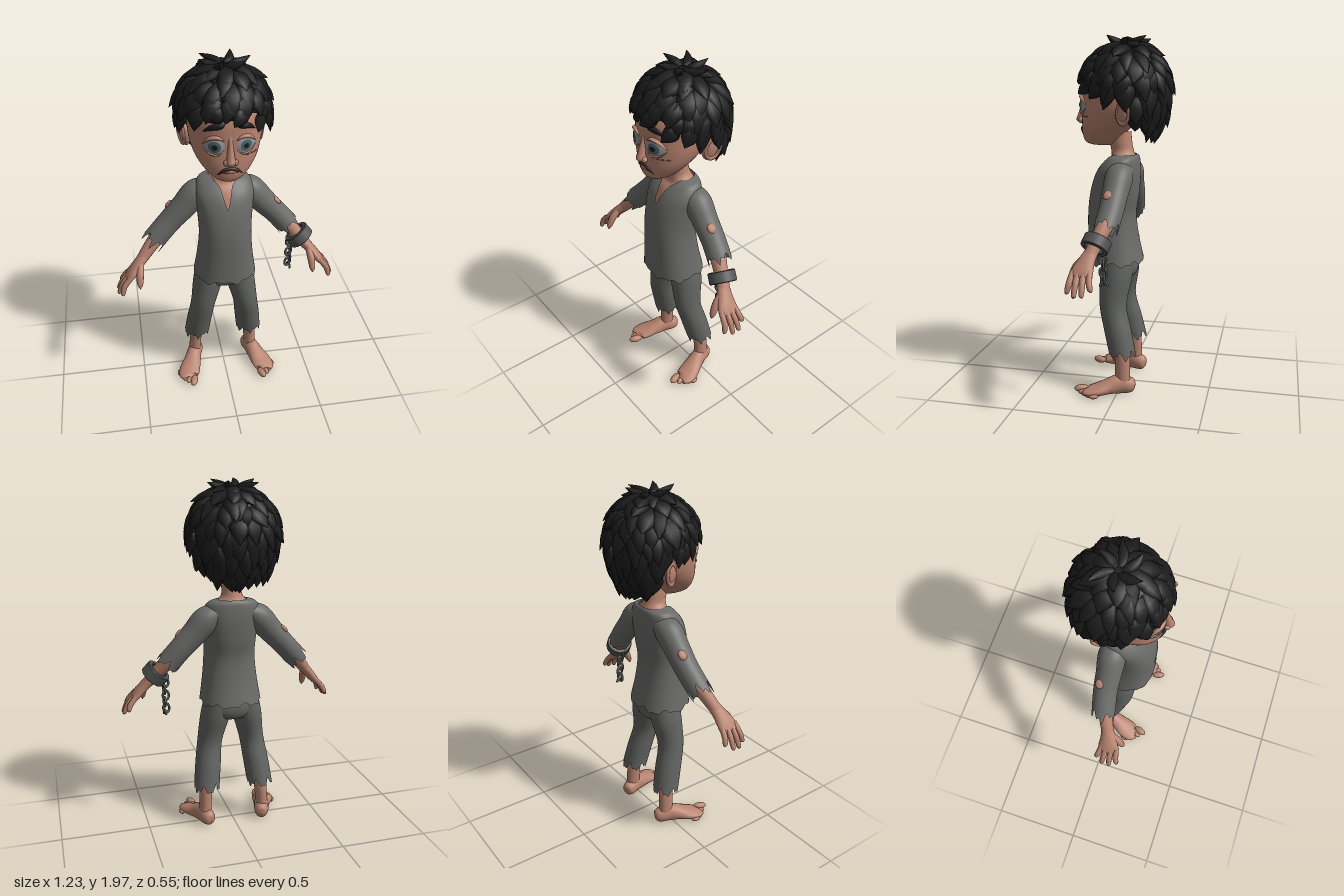
import * as THREE from 'three';
import { mergeGeometries } from 'three/addons/utils/BufferGeometryUtils.js';
import { ParametricGeometry } from 'three/addons/geometries/ParametricGeometry.js';

const V3 = THREE.Vector3, AHEAD = new V3(0, 0, 1), UP = new V3(0, 1, 0), DOWN = new V3(0, -1, 0);
const material = (name, color, side = THREE.FrontSide) => {
  const m = new THREE.MeshStandardMaterial({ color, side });
  m.name = name;
  return m;
};

let seed = 7;
const rand = () => (seed = (seed * 16807) % 2147483647) / 2147483647;

// Smooth skin over elliptical sections [x, y, z, halfWidth, halfDepth]; start/end trim it per angle
function loft(secs, { seg = 16, rows = secs.length * 4, ref = AHEAD, flat = false, p = 2, start = () => 0, end = () => 1 } = {}) {
  const path = new THREE.CatmullRomCurve3(secs.map(s => new V3(s[0], s[1], s[2])), false, 'catmullrom');
  const size = new THREE.CatmullRomCurve3(secs.map(s => new V3(s[3], s[4] ?? s[3], 0)), false, 'catmullrom');
  const pos = [], index = [];
  const bow = v => Math.sign(v) * Math.abs(v) ** (2 / p);
  for (let i = 0; i <= rows; i++) for (let j = 0; j < seg; j++) {
    const a = j / seg * Math.PI * 2, t = THREE.MathUtils.lerp(start(a), end(a), i / rows);
    const T = flat ? DOWN : path.getTangent(t), r = size.getPoint(t);
    const v = ref.clone().addScaledVector(T, -ref.dot(T)).normalize(), u = v.clone().cross(T);
    const q = path.getPoint(t).addScaledVector(u, Math.max(r.x, 0) * bow(Math.cos(a)))
      .addScaledVector(v, Math.max(r.y, 0) * bow(Math.sin(a)));
    pos.push(q.x, q.y, q.z);
    if (i < rows) {
      const k = i * seg + j, n = i * seg + (j + 1) % seg;
      index.push(k, n, n + seg, k, n + seg, k + seg);
    }
  }
  const g = new THREE.BufferGeometry();
  g.setAttribute('position', new THREE.Float32BufferAttribute(pos, 3));
  g.setIndex(index);
  g.computeVertexNormals();
  return g;
}

// Horizontal section given by height, front z, back z and half width
const level = (y, f, b, w) => [0, y, (f + b) / 2, w, (f - b) / 2];
const tri = x => Math.abs((((x % 1) + 1) % 1) * 2 - 1);
// Torn hem: trims a loft end by uneven notches
const torn = (depth, n) => a => {
  const k = a / (Math.PI * 2);
  return 1 - depth * (0.6 * tri(k * n) + 0.4 * tri(k * (n * 2 + 1) + 0.3));
};

export function createModel() {
  const model = new THREE.Group();
  model.name = 'boy';
  const skin = material('skin', 0xb98470), hairMat = material('hair', 0x1c1c1c, THREE.DoubleSide);
  const shirtMat = material('shirt cloth', 0x6a6b69, THREE.DoubleSide);
  const trouserMat = material('trouser cloth', 0x626461, THREE.DoubleSide);
  const iron = material('iron', 0x535554), eyeMat = material('eye white', 0x929b9c), irisMat = material('iris', 0x4d6267);
  const mouthMat = material('mouth', 0x3a2622), lipMat = material('lip', 0x9c6557), scratchMat = material('scratch', 0x85473f);
  const add = (name, geo, mat, parent = model) => {
    const m = new THREE.Mesh(geo, mat);
    m.name = name;
    parent.add(m);
    return m;
  };

  // Head and neck
  const head = add('head', loft([
    level(1.9, 0.03, 0, 0.002), level(1.885, 0.1, -0.11, 0.1), level(1.82, 0.175, -0.17, 0.165), level(1.73, 0.222, -0.19, 0.19),
    level(1.64, 0.228, -0.17, 0.19), level(1.57, 0.228, -0.13, 0.183), level(1.5, 0.23, -0.06, 0.157),
    level(1.44, 0.228, 0, 0.115), level(1.402, 0.215, 0.03, 0.075), level(1.385, 0.18, 0.06, 0.035), level(1.383, 0.13, 0.11, 0.002)],
  { seg: 48, flat: true, p: 2.15 }), skin);
  add('neckAndChest', loft([level(1.46, 0.09, -0.04, 0.05), level(1.4, 0.08, -0.045, 0.054), level(1.35, 0.07, -0.055, 0.06),
    level(1.31, 0.072, -0.07, 0.1), level(1.26, 0.112, -0.075, 0.13), level(1.12, 0.165, -0.06, 0.12)], { seg: 24, flat: true }), skin);

  // Face details follow the head surface
  const ray = new THREE.Raycaster();
  const faceZ = (x, y) => {
    ray.set(new V3(x, y, 1), new V3(0, 0, -1));
    return ray.intersectObject(head)[0]?.point.z ?? 0.2;
  };
  const strip = (name, pts, r, thick, mat) => add(name, loft(pts.map(([x, y], i) => {
    const k = i === 0 || i === pts.length - 1 ? 0.15 : 1;
    return [x, y, faceZ(x, y) + 0.001, r * k, thick * k];
  }), { seg: 8 }), mat);
  const eyeDisc = (name, s, rx, ry, off, mat) => {
    const g = new THREE.RingGeometry(0.0005, 1, 28, 4).scale(rx, ry, 1).translate(s * 0.079, 1.602, 0);
    const a = g.attributes.position;
    for (let i = 0; i < a.count; i++) {
      const x = a.getX(i), y = a.getY(i), d = ((x - s * 0.079) ** 2 + (y - 1.602) ** 2) / 0.0026;
      a.setZ(i, faceZ(x, y) + 0.003 + off + 0.01 * Math.max(0, 1 - d));
    }
    g.computeVertexNormals();
    add(name, g, mat);
  };
  for (const s of [1, -1]) {
    eyeDisc('eyeWhite', s, 0.05, 0.043, 0, eyeMat);
    eyeDisc('iris', s, 0.03, 0.03, 0.002, irisMat);
    eyeDisc('pupil', s, 0.014, 0.014, 0.004, hairMat);
    strip('upperLid', [[s * 0.03, 1.63], [s * 0.06, 1.648], [s * 0.1, 1.641], [s * 0.134, 1.605]], 0.009, 0.016, skin);
    strip('lowerLid', [[s * 0.032, 1.58], [s * 0.065, 1.557], [s * 0.1, 1.562], [s * 0.132, 1.59]], 0.006, 0.01, skin);
    strip('eyebrow', [[s * 0.025, 1.72], [s * 0.05, 1.708], [s * 0.09, 1.698], [s * 0.13, 1.672]], 0.015, 0.011, hairMat);
    const ear = add('ear', new THREE.SphereGeometry(1, 16, 12).scale(0.022, 0.066, 0.042), skin);
    ear.position.set(s * 0.198, 1.565, -0.035);
    ear.rotation.set(-0.15, s * -0.35, s * -0.12);
    const rim = add('earRim', new THREE.TorusGeometry(0.036, 0.009, 8, 20).scale(1, 1.6, 1).rotateY(Math.PI / 2), skin);
    rim.position.set(s * 0.214, 1.57, -0.042);
    rim.rotation.copy(ear.rotation);
    add('nostril', new THREE.SphereGeometry(0.017, 12, 10).translate(s * 0.021, 1.518, 0.238), skin);
  }
  add('nose', loft([[0, 1.68, 0.215, 0.012, 0.006], [0, 1.61, 0.222, 0.014, 0.018], [0, 1.55, 0.235, 0.02, 0.025],
    [0, 1.52, 0.242, 0.024, 0.028], [0, 1.502, 0.235, 0.014, 0.014], [0, 1.498, 0.23, 0.001]], { seg: 14, flat: true }), skin);
  strip('mouth', [[-0.064, 1.443], [-0.035, 1.47], [0, 1.48], [0.035, 1.47], [0.064, 1.443]], 0.009, 0.008, mouthMat);
  strip('lowerLip', [[-0.04, 1.454], [0, 1.463], [0.04, 1.454]], 0.008, 0.009, lipMat);
  for (let i = 0; i < 3; i++)
    strip('scratch', [[0.082 + i * 0.022, 1.542], [0.092 + i * 0.022, 1.545], [0.1 + i * 0.022, 1.543]], 0.003, 0.004, scratchMat);

  // Hair: a cap with layered locks that fall from the crown; theta 0 faces front
  const shell = (phi, th, k) => {
    const c = Math.cos(phi), s = Math.abs(Math.sin(phi)) ** (c > 0 ? 1 : 0.7);
    return new V3(0.235 * s * Math.sin(th) * k, 1.7 + (c > 0 ? 0.23 : 0.3) * c * k,
      -0.02 + (Math.cos(th) > 0 ? 0.26 : 0.225) * s * Math.cos(th) * k);
  };
  const backness = th => (1 - Math.cos(th)) / 2;
  const hairline = th => {
    const f = backness(th);
    return (80 + 72 * f - 15 * Math.exp(-(((f - 0.56) / 0.12) ** 2))) * Math.PI / 180;
  };
  add('hairCap', new ParametricGeometry((u, v, out) => {
    const th = u * Math.PI * 2;
    out.copy(shell(0.001 + v * (hairline(th) - 0.16), th, 0.97));
  }, 48, 20), hairMat);
  const locks = [];
  const lock = (phi, th, end, twist, lift, w) => {
    const secs = [0, 0.35, 0.7, 1].map((t, i) => [
      ...shell(phi + (end - phi) * t, th + twist * t, 0.96 + 0.03 * t + lift * t * t).toArray(),
      w * [0.6, 1, 0.75, 0.03][i], [0.016, 0.024, 0.018, 0.001][i]]);
    const ref = shell(phi + (end - phi) * 0.4, th, 1).sub(new V3(0, 1.7, -0.02)).normalize();
    locks.push(loft(secs, { seg: 6, rows: 7, ref }));
  };
  for (const deg of [6, 20, 36, 52, 68, 84, 100, 116, 132]) {
    const phi = deg * Math.PI / 180, n = Math.round(6 + 15 * Math.sin(phi));
    for (let j = 0; j < n; j++) {
      const th = (j + rand() * 0.6 + deg / 32) / n * Math.PI * 2, limit = hairline(th), f = backness(th);
      const end = Math.min(phi + 0.5 + rand() * 0.2, limit + rand() * 0.14 - 0.04);
      const twist = (rand() - 0.5) * 0.35 - 0.15 * (1 - f), lift = (0.06 + 0.13 * rand()) * (0.35 + 0.65 * Math.min(1, f * 2));
      if (end - phi > 0.2) lock(phi, th, end, twist, lift, 0.04 + rand() * 0.018);
    }
  }
  for (const th of [0.4, 1.3, 2.2, 3.4, 4.4, 5.5]) lock(0.08, th, 0.4 + rand() * 0.25, 0.5, 0.29, 0.028);
  add('hairLocks', mergeGeometries(locks), hairMat);

  // Shirt with a slit neckline and torn hem
  add('shirtBody', loft([level(1.335, 0.055, -0.07, 0.08), level(1.315, 0.085, -0.082, 0.135), level(1.26, 0.135, -0.088, 0.16),
    level(1.19, 0.168, -0.088, 0.156), level(1.1, 0.19, -0.08, 0.147), level(1, 0.2, -0.066, 0.144),
    level(0.87, 0.2, -0.08, 0.155), level(0.72, 0.2, -0.112, 0.178)], {
    seg: 96, rows: 40, flat: true, p: 2.3, end: torn(0.035, 7),
    start: a => {
      const d = Math.abs(a - Math.PI / 2);
      return 0.2 * Math.exp(-((d / 0.5) ** 2)) + 0.22 * Math.max(0, 1 - d / 0.16);
    },
  }), shirtMat);

  // Trousers hips
  add('trouserHips', loft([level(0.82, 0.13, -0.05, 0.14), level(0.72, 0.118, -0.08, 0.165), level(0.66, 0.11, -0.07, 0.13),
    level(0.635, 0.07, -0.03, 0.06), level(0.63, 0.03, 0.01, 0.002)], { seg: 28, flat: true }), trouserMat);

  for (const s of [1, -1]) {
    const side = secs => secs.map(([x, ...r]) => [s * x, ...r]);
    // Sleeves: the right one is longer
    const cut = s > 0 ? [0.385, 0.96, 0.02, 0.066] : [0.425, 0.925, 0.03, 0.064];
    add('sleeve', loft(side([[0.09, 1.262, -0.01, 0.05, 0.06], [0.15, 1.222, -0.005, 0.075, 0.075], [0.22, 1.145, 0, 0.07, 0.07],
      [0.3, 1.06, 0.005, 0.064, 0.066], cut]), { seg: 48, rows: 24, end: torn(0.13, 5) }), shirtMat);
    // Torn holes showing skin
    const tear = add('sleeveTear', new THREE.SphereGeometry(1, 12, 8).scale(0.014, 0.03, 0.026), skin);
    tear.position.set(s * 0.295, 1.15, s > 0 ? 0.02 : -0.025);
    tear.rotation.z = s * 0.78;
    // Forearm and hand
    add('forearm', loft(side([[0.22, 1.15, 0, 0.045], [0.33, 1.03, 0.015, 0.046], [0.41, 0.94, 0.045, 0.038],
      [0.47, 0.868, 0.073, 0.03, 0.034]])), skin);
    add('palm', loft(side([[0.45, 0.892, 0.064, 0.029, 0.034], [0.49, 0.847, 0.082, 0.028, 0.044], [0.53, 0.8, 0.096, 0.024, 0.058],
      [0.552, 0.773, 0.1, 0.016, 0.052], [0.556, 0.768, 0.1, 0.002]])), skin);
    [[0.59, 0.715], [0.61, 0.692], [0.609, 0.688], [0.59, 0.7]].forEach(([x, y], k) => {
      const z0 = 0.1 + (k - 1.5) * 0.028, z1 = 0.1 + (k - 1.5) * 0.04, mx = 0.58 - Math.abs(k - 1.5) * 0.005;
      add('finger', loft(side([[0.53, 0.805, z0, 0.015], [mx, 0.753, (z0 + z1) / 2, 0.016], [x - 0.004, y + 0.008, z1, 0.012],
        [x, y, z1, 0.001]]), { seg: 10 }), skin);
    });
    add('thumb', loft(side([[0.475, 0.86, 0.1, 0.018], [0.484, 0.815, 0.138, 0.021], [0.488, 0.765, 0.162, 0.016],
      [0.489, 0.738, 0.17, 0.002]]), { seg: 10 }), skin);
    // Legs
    add('trouserLeg', loft(side([[0.08, 0.75, 0.02, 0.08, 0.09], [0.095, 0.65, 0.025, 0.085, 0.09], [0.125, 0.5, 0.035, 0.072, 0.076],
      [0.145, 0.36, 0.004, 0.074, 0.076], [0.164, 0.2, -0.033, 0.074, 0.074]]),
    { seg: 48, rows: 26, flat: true, end: torn(0.11, 6) }), trouserMat);
    add('shin', loft(side([[0.15, 0.38, 0, 0.045], [0.165, 0.22, -0.025, 0.037, 0.043], [0.172, 0.12, -0.03, 0.036, 0.043],
      [0.176, 0.05, -0.03, 0.038, 0.045]]), { flat: true }), skin);
    // Foot with five toes, turned outward
    const foot = new THREE.Group();
    foot.name = 'foot';
    foot.position.set(s * 0.175, 0, -0.03);
    foot.rotation.y = s * 0.33;
    model.add(foot);
    add('footBody', loft(side([[0, 0.04, -0.072, 0.002], [0, 0.042, -0.062, 0.03, 0.034], [0, 0.05, -0.03, 0.042, 0.048],
      [0, 0.057, 0.02, 0.044, 0.055], [0, 0.045, 0.08, 0.052, 0.043], [0.003, 0.032, 0.14, 0.062, 0.03],
      [0, 0.024, 0.19, 0.058, 0.021], [-0.01, 0.022, 0.21, 0.03, 0.01], [-0.01, 0.022, 0.212, 0.002]]), { ref: UP }), skin, foot);
    [[-0.042, 0.228, 0.022], [-0.008, 0.218, 0.016], [0.018, 0.205, 0.015], [0.041, 0.188, 0.014], [0.06, 0.168, 0.014]]
      .forEach(([x, z, r]) => add('toe', new THREE.SphereGeometry(r, 12, 10).scale(1, 0.95, 1.9).translate(s * x, r, z), skin, foot));
  }

  // Shackle on the left wrist with a hanging broken chain
  const ring = new THREE.Shape().absarc(0, 0, 0.07, 0, Math.PI * 2, false);
  ring.holes.push(new THREE.Path().absarc(0, 0, 0.052, 0, Math.PI * 2, true));
  const cuff = add('shackle', new THREE.ExtrudeGeometry(ring, { depth: 0.055, bevelSize: 0.004, bevelThickness: 0.004,
    bevelSegments: 1, curveSegments: 20 }).translate(0, 0, -0.0275), iron);
  cuff.position.set(0.427, 0.922, 0.05);
  cuff.quaternion.setFromUnitVectors(AHEAD, new V3(0.62, -0.74, 0.24).normalize());
  for (let i = 0; i < 6; i++) {
    const link = add('chainLink', new THREE.TorusGeometry(0.019, 0.0065, 8, 18, i === 5 ? Math.PI : Math.PI * 2).scale(1, 1.35, 1), iron);
    link.position.set(0.378 + (i % 2) * 0.008, 0.872 - i * 0.037, 0.03 - i * 0.002);
    link.rotation.set(0, (i % 2) * 1.4 + 0.3, (i % 2 - 0.5) * 0.3);
  }
  return model;
}
